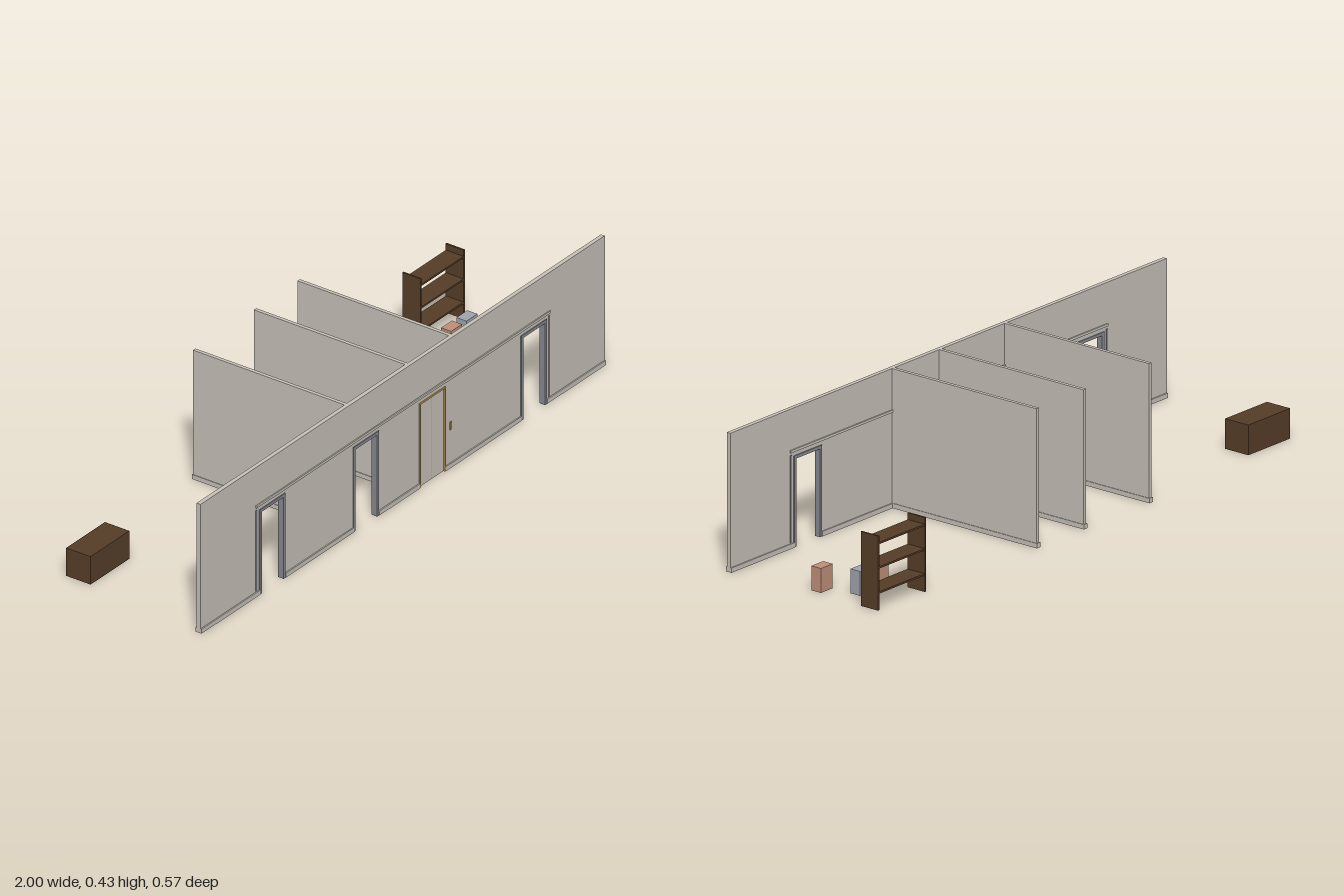
import * as THREE from 'three';

export function createModel() {
  const model = new THREE.Group();
  const mat = (name, color) => {
    const m = new THREE.MeshStandardMaterial({ color });
    m.name = name;
    return m;
  };
  const plaster = mat('plaster', 0xc6c1b8);
  const frameGrey = mat('frame grey', 0x85888f);
  const gold = mat('gold trim', 0xc9a660);
  const walnut = mat('walnut', 0x553d28);
  const terracotta = mat('terracotta', 0xc08f79);
  const slate = mat('slate blue', 0x9fa4ae);

  // Box given by its limits on each axis
  const box = (name, m, x0, x1, y0, y1, z0, z1, parent = model) => {
    const mesh = new THREE.Mesh(new THREE.BoxGeometry(x1 - x0, y1 - y0, z1 - z0), m);
    mesh.position.set((x0 + x1) / 2, (y0 + y1) / 2, (z0 + z1) / 2);
    mesh.name = name;
    parent.add(mesh);
    return mesh;
  };
  const group = (name) => {
    const g = new THREE.Group();
    g.name = name;
    model.add(g);
    return g;
  };

  const H = 0.434, doorH = 0.285;
  const zBack = 0.268, zFront = 0.282;
  const doors = [[-0.71, -0.583], [-0.246, -0.12], [0.081, 0.21], [0.583, 0.71]];

  // Long front wall with doorways notched up from the floor
  const outline = new THREE.Shape();
  outline.moveTo(-1, 0);
  for (const [a, b] of doors) {
    outline.lineTo(a, 0);
    outline.lineTo(a, doorH);
    outline.lineTo(b, doorH);
    outline.lineTo(b, 0);
  }
  outline.lineTo(1, 0);
  outline.lineTo(1, H);
  outline.lineTo(-1, H);
  const wall = new THREE.Mesh(
    new THREE.ExtrudeGeometry(outline, { depth: zFront - zBack, bevelEnabled: false }), plaster);
  wall.position.z = zBack;
  wall.name = 'frontWall';
  model.add(wall);

  // Skirting between the doorways, on both faces of the wall
  const skirting = group('skirting');
  const edges = [-1, ...doors.flat(), 1];
  for (let i = 0; i < edges.length; i += 2)
    box('skirtingBoard', plaster, edges[i], edges[i + 1], 0, 0.015, zBack - 0.004, zFront + 0.004, skirting);

  // Picture rail over the doors and its end strips
  box('wallRail', plaster, -0.727, 0.727, 0.298, 0.306, zBack - 0.004, zFront + 0.004);
  for (const s of [-1, 1])
    box('endStrip', frameGrey, s * 0.724 - 0.003, s * 0.724 + 0.003, 0.018, 0.29, zBack - 0.002, zFront + 0.002);

  // Door frames: two jambs and a header
  doors.forEach(([a, b], i) => {
    const closed = i === 2;
    const m = closed ? gold : frameGrey;
    const t = closed ? 0.005 : 0.01;
    const z0 = zBack - 0.003, z1 = zFront + 0.003;
    const frame = group(closed ? 'closedDoorFrame' : 'openDoorFrame');
    box('leftJamb', m, b - t, b, 0, doorH, z0, z1, frame);
    box('rightJamb', m, a, a + t, 0, doorH, z0, z1, frame);
    box('header', m, a + t, b - t, doorH - t, doorH, z0, z1, frame);
  });

  // Closed double door, its centre seam and the push plate beside it
  box('leftLeaf', plaster, 0.1465, 0.205, 0, 0.28, 0.271, 0.279);
  box('rightLeaf', plaster, 0.086, 0.1445, 0, 0.28, 0.271, 0.279);
  box('doorSeam', gold, 0.1445, 0.1465, 0, 0.28, 0.2715, 0.2785);
  box('pushPlate', gold, 0.232, 0.239, 0.128, 0.154, zFront, zFront + 0.003);

  // Partition walls running back, each with skirting
  for (const x of [-0.263, 0.037, 0.253]) {
    const p = group('partition');
    box('partitionWall', plaster, x - 0.006, x + 0.006, 0, H, -0.284, zBack, p);
    box('partitionSkirting', plaster, x - 0.008, x + 0.008, 0, 0.015, -0.287, zBack, p);
  }

  // Low chest
  box('chest', walnut, -0.957, -0.765, 0, 0.094, -0.24, -0.151);

  // Open shelf unit
  const unit = group('shelfUnit');
  for (const x of [0.762, 0.976])
    box('shelfSide', walnut, x - 0.003, x + 0.003, 0, 0.232, -0.279, -0.213, unit);
  for (const y of [0.054, 0.132, 0.208])
    box('shelf', walnut, 0.765, 0.973, y - 0.003, y + 0.003, -0.278, -0.214, unit);

  // Storage boxes
  for (const [x, z, m] of [[0.81, -0.137, terracotta], [0.886, -0.137, slate], [0.94, -0.032, terracotta]])
    box('storageBox', m, x - 0.027, x + 0.027, 0, 0.076, z - 0.0185, z + 0.0185);

  return model;
}
